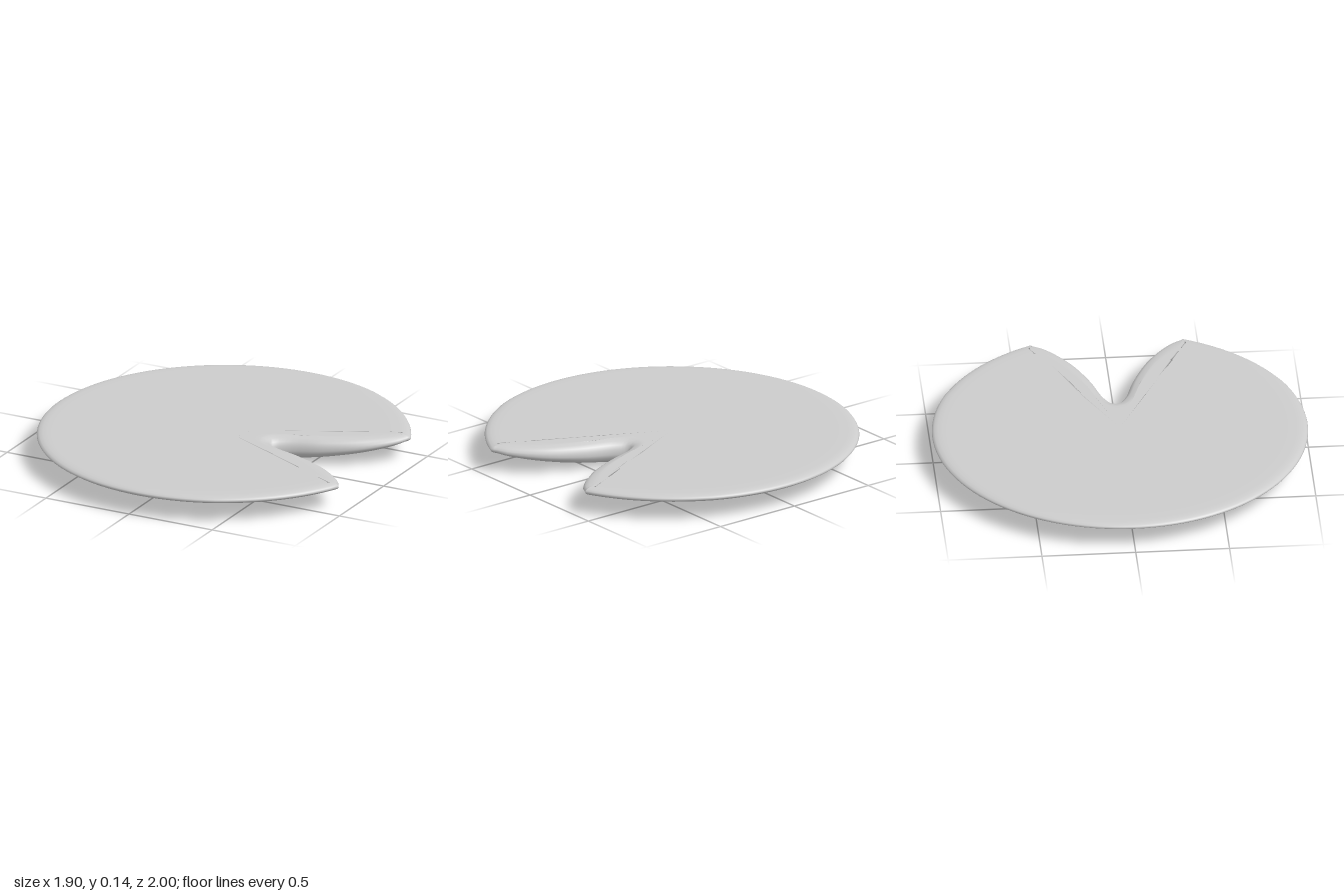
import * as THREE from 'three';

const CENTRE_X = 0.045;
const TOP_Y = 0.145;

// Notched round outline, as [x, z] around the centre
function makeOutline() {
  const points = [];
  const tip = Math.atan2(0.407, 0.902);
  const arcSteps = 100;
  for (let i = 0; i <= arcSteps; i++) {
    const a = tip + (i / arcSteps) * (2 * Math.PI - 2 * tip);
    points.push([0.99 * Math.cos(a) + (i > 12 && i < 88 ? 0.01 * Math.cos(a) : 0),
      (i > 12 && i < 88 ? 1 : 0.99 + 0.01 * Math.min(i, arcSteps - i) / 13) * Math.sin(a)]);
  }
  // One side of the notch from the tip inwards, mirrored for the other
  const side = [[0.945, 0.407], [0.898, 0.326], [0.752, 0.2], [0.568, 0.107], [0.392, 0.046]];
  const notch = [
    ...side.map(([x, z]) => new THREE.Vector3(x - CENTRE_X, 0, -z)),
    new THREE.Vector3(0.333 - CENTRE_X, 0, 0),
    ...side.slice().reverse().map(([x, z]) => new THREE.Vector3(x - CENTRE_X, 0, z)),
  ];
  const inner = new THREE.CatmullRomCurve3(notch).getPoints(50).slice(1, -1);
  inner.forEach((p) => points.push([p.x, p.z]));
  return points;
}

// Shallow bowl on the underside
const bowl = (x, z) => 0.105 * (x * x + z * z);

function makePadGeometry() {
  const outline = makeOutline();
  const n = outline.length;
  const normals = outline.map((_, i) => {
    const a = outline[(i + n - 1) % n], b = outline[(i + 1) % n];
    const tx = b[0] - a[0], tz = b[1] - a[1], l = Math.hypot(tx, tz);
    return [tz / l, -tx / l];
  });

  // Rings from the underside, round the edge, to the top: [scale, inset, height share]
  const rings = [
    [0, 0.06, 0], [0.2, 0.06, 0], [0.4, 0.06, 0], [0.6, 0.06, 0], [0.8, 0.06, 0], [0.93, 0.06, 0],
    [1, 0.06, 0], [1, 0.02, 0.14], [1, 0.005, 0.3], [1, 0, 0.45], [1, 0.004, 0.65],
    [1, 0.014, 0.82], [1, 0.033, 0.94], [1, 0.06, 0.985],
    [0.94, 0.06, 1], [0.8, 0.06, 1], [0.4, 0.06, 1], [0, 0.06, 1],
  ];
  const positions = [], index = [];
  for (const [scale, inset, share] of rings) {
    outline.forEach(([ox, oz], i) => {
      const x = (ox - normals[i][0] * inset) * scale;
      const z = (oz - normals[i][1] * inset) * scale;
      const base = bowl(x, z);
      positions.push(x + CENTRE_X, base + (TOP_Y - base) * share, z);
    });
  }
  for (let k = 0; k < rings.length - 1; k++) {
    for (let i = 0; i < n; i++) {
      const a = k * n + i, b = k * n + (i + 1) % n;
      index.push(a, a + n, b, b, a + n, b + n);
    }
  }
  const geometry = new THREE.BufferGeometry();
  geometry.setAttribute('position', new THREE.Float32BufferAttribute(positions, 3));
  geometry.setIndex(index);
  geometry.computeVertexNormals();
  return geometry;
}

export function createModel() {
  const group = new THREE.Group();
  group.name = 'lilyPad';
  const grey = new THREE.MeshStandardMaterial({ color: 0xcccccc });
  grey.name = 'light grey';
  const pad = new THREE.Mesh(makePadGeometry(), grey);
  pad.name = 'padLeaf';
  group.add(pad);
  return group;
}
